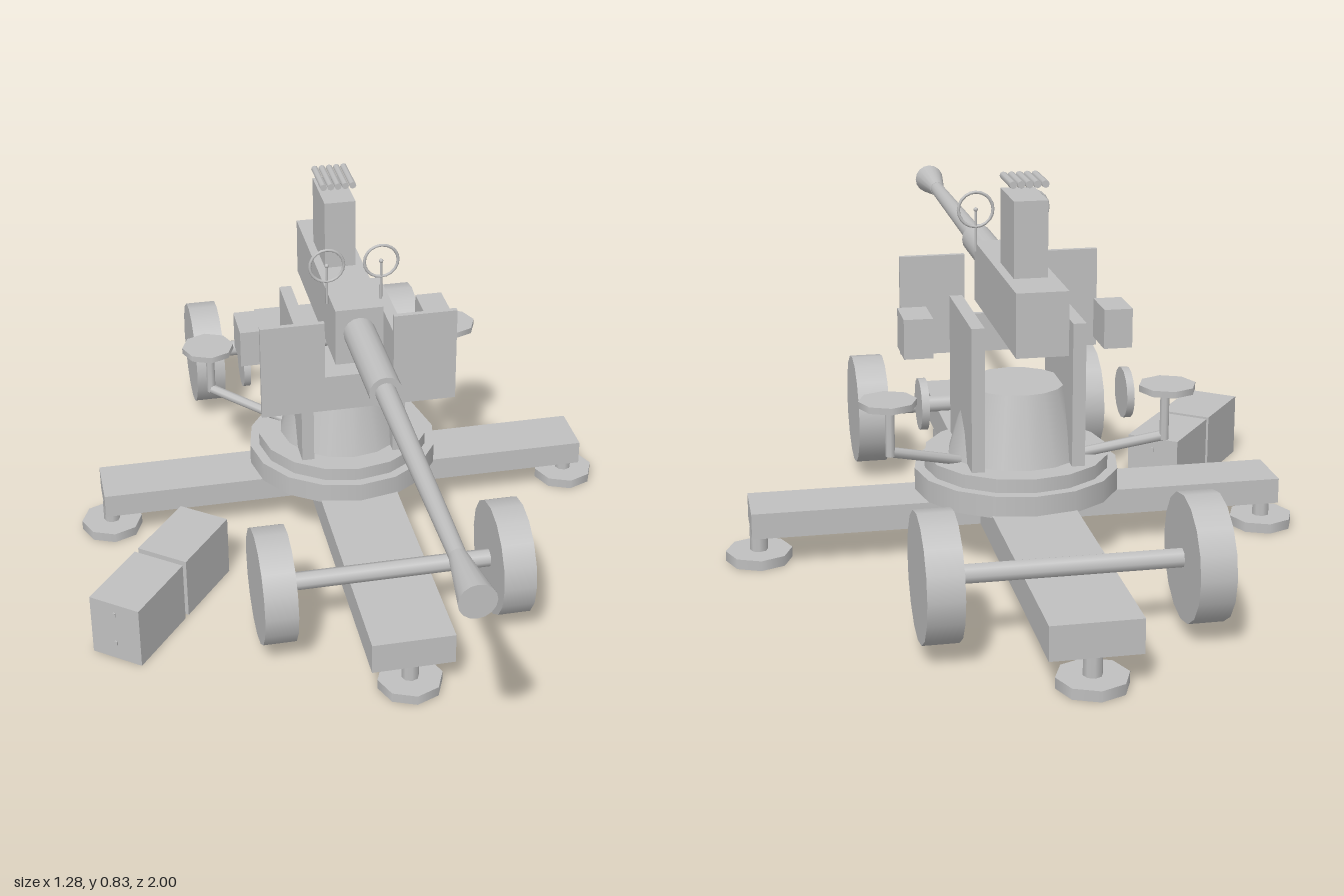
import * as THREE from 'three';

export function createModel() {
  const model = new THREE.Group();
  model.name = 'fieldGun';
  const grey = new THREE.MeshStandardMaterial({ color: 0xc0c0c0 });
  grey.name = 'plain grey';

  // Everything on the carriage is mirrored about the gun's axis
  const gun = new THREE.Group();
  gun.name = 'gunAndCarriage';
  gun.position.x = 0.005;
  model.add(gun);

  const add = (name, geo, x, y, z, parent = gun) => {
    const m = new THREE.Mesh(geo, grey);
    m.name = name;
    m.position.set(x, y, z);
    parent.add(m);
    return m;
  };
  const box = (name, w, h, d, x, y, z, parent) => add(name, new THREE.BoxGeometry(w, h, d), x, y, z, parent);
  const cyl = (name, rt, rb, h, n, x, y, z, parent) => add(name, new THREE.CylinderGeometry(rt, rb, h, n), x, y, z, parent);
  // Round bar between two points
  const rod = (name, a, b, r, n = 8) => {
    const p = new THREE.Vector3(...a), q = new THREE.Vector3(...b);
    const d = q.clone().sub(p);
    const m = cyl(name, r, r, d.length(), n, 0, 0, 0);
    m.position.copy(p).add(q).multiplyScalar(0.5);
    m.quaternion.setFromUnitVectors(new THREE.Vector3(0, 1, 0), d.normalize());
    return m;
  };
  const CZ = -0.207; // turntable centre

  // Cross-shaped carriage
  box('longBeam', 0.18, 0.07, 1.51, 0, 0.105, CZ);
  box('crossBeam', 1.155, 0.056, 0.13, 0, 0.098, CZ);

  // Levelling feet at the four beam ends
  for (const [x, z] of [[0, 0.515], [0, -0.929], [0.56, CZ], [-0.56, CZ]]) {
    cyl('footPad', 0.071, 0.071, 0.022, 8, x, 0.011, z);
    cyl('footPost', 0.019, 0.019, 0.055, 8, x, 0.047, z);
  }

  // Axles and solid wheels
  for (const z of [0.313, -0.733]) {
    rod('axle', [-0.24, 0.155, z], [0.24, 0.155, z], 0.02);
    for (const s of [-1, 1]) {
      cyl('wheel', 0.128, 0.128, 0.072, 16, s * 0.259, 0.155, z).rotation.z = Math.PI / 2;
    }
  }

  // Turntable and pedestal
  cyl('turntableBase', 0.222, 0.222, 0.048, 16, 0, 0.159, CZ);
  cyl('turntableRing', 0.2, 0.2, 0.03, 16, 0, 0.198, CZ);
  cyl('pedestal', 0.105, 0.148, 0.152, 16, 0, 0.289, CZ);

  for (const s of [-1, 1]) {
    // Mount cheeks with gear boxes and handwheels
    box('mountCheek', 0.028, 0.312, 0.275, s * 0.107, 0.369, CZ);
    box('gearBox', 0.062, 0.086, 0.1, s * 0.215, 0.48, -0.193);
    cyl('handwheel', 0.054, 0.054, 0.016, 16, s * 0.217, 0.356, -0.297).rotation.z = Math.PI / 2;

    // Crew seats on cranked arms
    rod('seatArm', [s * 0.13, 0.213, -0.26], [s * 0.292, 0.27, -0.342], 0.011);
    rod('seatPost', [s * 0.292, 0.262, -0.345], [s * 0.292, 0.375, -0.345], 0.01);
    cyl('seat', 0.061, 0.061, 0.014, 8, s * 0.296, 0.378, -0.347);

    // Ring sights
    add('sightRing', new THREE.TorusGeometry(0.038, 0.0035, 6, 20), s * 0.061, 0.713, -0.063);
    rod('sightPost', [s * 0.061, 0.62, -0.063], [s * 0.061, 0.713, -0.063], 0.003, 6);
    add('sightBead', new THREE.SphereGeometry(0.005, 8, 6), s * 0.061, 0.713, -0.063);
  }

  // Shield with a notch for the barrel
  const outline = [[-0.222, 0.38], [0.222, 0.38], [0.222, 0.603], [0.078, 0.603],
    [0.078, 0.467], [-0.078, 0.467], [-0.078, 0.603], [-0.222, 0.603]];
  const shape = new THREE.Shape(outline.map(([x, y]) => new THREE.Vector2(x, y)));
  add('shield', new THREE.ExtrudeGeometry(shape, { depth: 0.012, bevelEnabled: false }), 0, 0, -0.016);

  // Receiver, ammunition feed and loaded rounds
  box('receiver', 0.108, 0.134, 0.47, 0, 0.563, -0.24);
  box('feedBox', 0.071, 0.16, 0.143, 0, 0.71, -0.287);
  for (let i = -2; i <= 2; i++) {
    rod('round', [i * 0.0167, 0.82, -0.342], [i * 0.0167, 0.82, -0.235], 0.008);
  }

  // Barrel: recoil sleeve, tapered tube and flared muzzle
  const along = (name, rBack, rFront, z0, z1) => {
    cyl(name, rFront, rBack, z1 - z0, 16, 0, 0.572, (z0 + z1) / 2).rotation.x = Math.PI / 2;
  };
  along('recoilSleeve', 0.036, 0.036, -0.01, 0.262);
  along('barrel', 0.023, 0.017, 0.255, 0.87);
  along('muzzle', 0.018, 0.037, 0.86, 1.0);

  // Two ammunition chests end to end on the ground
  const chests = new THREE.Group();
  chests.name = 'ammunitionChests';
  chests.position.set(-0.476, 0, 0.148);
  chests.rotation.y = -0.657;
  model.add(chests);
  for (const s of [-1, 1]) {
    box('chest', 0.122, 0.144, 0.186, 0, 0.072, s * 0.1, chests);
    for (const y of [0.042, 0.117]) {
      box('latchStud', 0.006, 0.01, 0.004, 0, y, s * 0.194, chests);
    }
  }
  return model;
}
